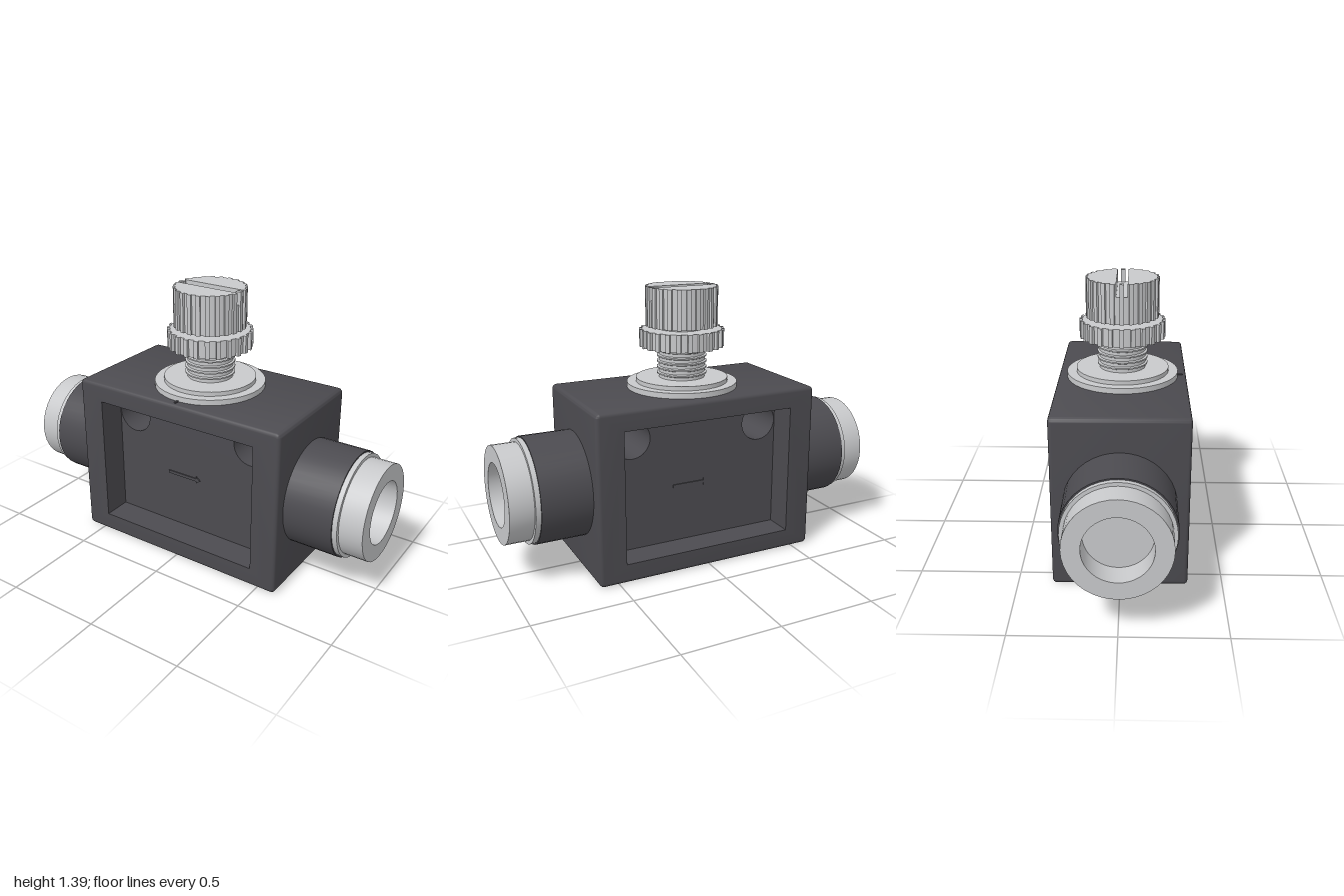
import * as THREE from 'three';
import { toCreasedNormals } from 'three/addons/utils/BufferGeometryUtils.js';

const dark = new THREE.MeshStandardMaterial({ color: 0x4c4b50, name: 'dark plastic' });
const light = new THREE.MeshStandardMaterial({ color: 0xc8c9cb, name: 'light metal' });

const W = 0.6, H = 0.88, D = 0.33;   // body half width, height, half depth
const CY = 0.44;                     // height of the port axis

function add(parent, name, geo, mat, x = 0, y = 0, z = 0) {
  const mesh = new THREE.Mesh(geo, mat);
  mesh.name = name;
  mesh.position.set(x, y, z);
  parent.add(mesh);
  return mesh;
}

// Turned part from [radius, height] pairs, with crisp steps
function turned(points, sides) {
  const geo = new THREE.LatheGeometry(points.map(p => new THREE.Vector2(...p)), sides);
  return toCreasedNormals(geo, 0.3);
}

function rectangle(path, hw, hh) {
  path.moveTo(-hw, -hh);
  path.lineTo(hw, -hh);
  path.lineTo(hw, hh);
  path.lineTo(-hw, hh);
  path.closePath();
  return path;
}

// Rounded frame around a sharp rectangular opening
function frameGeometry() {
  const r = 0.025, b = 0.02, hw = W, hh = H / 2;
  const s = new THREE.Shape();
  s.absarc(hw - r, hh - r, r, 0, Math.PI / 2);
  s.absarc(-hw + r, hh - r, r, Math.PI / 2, Math.PI);
  s.absarc(-hw + r, -hh + r, r, Math.PI, Math.PI * 1.5);
  s.absarc(hw - r, -hh + r, r, Math.PI * 1.5, Math.PI * 2);
  s.holes.push(rectangle(new THREE.Path(), 0.46, 0.34));
  const geo = new THREE.ExtrudeGeometry(s, {
    depth: 2 * (D - b), bevelThickness: b, bevelSize: b, bevelOffset: -b,
    bevelSegments: 4, curveSegments: 5,
  });
  geo.translate(0, 0, -(D - b));
  // keep the opening's walls straight where the bevel would widen them
  const p = geo.attributes.position;
  for (let i = 0; i < p.count; i++) {
    if (Math.abs(p.getX(i)) < 0.52 && Math.abs(p.getY(i)) < 0.39) {
      p.setXY(i, Math.sign(p.getX(i)) * 0.46, Math.sign(p.getY(i)) * 0.34);
    }
  }
  return toCreasedNormals(geo, 0.7);
}

// Inner wall with two mounting holes
function webGeometry() {
  const s = rectangle(new THREE.Shape(), 0.465, 0.345);
  for (const x of [-0.36, 0.36]) {
    const hole = new THREE.Path();
    hole.absarc(x, 0.24, 0.097, 0, Math.PI * 2, true);
    s.holes.push(hole);
  }
  const geo = new THREE.ExtrudeGeometry(s, { depth: 0.36, bevelEnabled: false, curveSegments: 20 });
  geo.translate(0, 0, -0.18);
  return toCreasedNormals(geo, 0.5);
}

// Ring of upright teeth
function addTeeth(parent, name, radius, y0, y1) {
  const count = 24, depth = 0.03;
  for (let i = 0; i < count; i++) {
    const a = (i / count) * Math.PI * 2;
    const r = radius - depth / 2;
    const tooth = add(parent, name, new THREE.BoxGeometry(depth, y1 - y0, 0.022), light,
      Math.cos(a) * r, (y0 + y1) / 2, Math.sin(a) * r);
    tooth.rotation.y = -a;
  }
}

export function createModel() {
  const model = new THREE.Group();
  model.name = 'flowValve';

  // Body
  add(model, 'bodyFrame', frameGeometry(), dark, 0, CY);
  add(model, 'bodyWeb', webGeometry(), dark, 0, CY);

  // Flow arrow and top index mark on each face
  for (const turn of [0, Math.PI]) {
    const marks = new THREE.Group();
    marks.name = 'faceMarks';
    marks.rotation.y = turn;
    add(marks, 'arrowShaft', new THREE.BoxGeometry(0.19, 0.016, 0.008), dark, -0.045, 0.402, 0.182);
    const head = new THREE.Shape();
    head.moveTo(0.035, -0.02);
    head.lineTo(0.06, 0);
    head.lineTo(0.035, 0.02);
    add(marks, 'arrowHead', new THREE.ExtrudeGeometry(head, { depth: 0.008, bevelEnabled: false }),
      dark, 0, 0.402, 0.178);
    if (turn === 0) add(marks, 'indexMark', new THREE.BoxGeometry(0.01, 0.008, 0.04), dark, 0, 0.882, 0.29);
    model.add(marks);
  }

  // Ports on both ends
  const sleeve = turned([[0, 0.55], [0.27, 0.55], [0.27, 0.855], [0.2, 0.855]], 40);
  const collet = turned([[0.2, 0.85], [0.263, 0.85], [0.263, 0.88], [0.245, 0.88],
    [0.245, 1], [0.16, 1], [0.16, 0.88], [0, 0.88]], 40);
  for (const side of [-1, 1]) {
    const port = new THREE.Group();
    port.name = side > 0 ? 'leftPort' : 'rightPort';
    port.position.y = CY + 0.003;
    port.rotation.z = -side * Math.PI / 2;
    add(port, 'portSleeve', sleeve, dark);
    add(port, 'releaseCollet', collet, light);
    model.add(port);
  }

  // Stepped collar
  add(model, 'collar', turned([[0, 0.87], [0.285, 0.87], [0.285, 0.908], [0.237, 0.908],
    [0.237, 0.93], [0, 0.93]], 40), light);

  // Threaded stem
  const thread = [[0.118, 0.92]];
  for (let y = 0.945; y < 1.08; y += 0.03) {
    thread.push([0.118, y], [0.128, y + 0.004], [0.128, y + 0.011], [0.118, y + 0.015]);
  }
  thread.push([0.118, 1.22]);
  add(model, 'threadedStem', turned(thread, 32), light);

  // Knurled lock nut
  add(model, 'lockNut', new THREE.CylinderGeometry(0.203, 0.203, 0.09, 48), light, 0, 1.135);
  addTeeth(model, 'lockNutTooth', 0.217, 1.09, 1.18);

  // Knurled knob with a screwdriver slot along x
  add(model, 'knobBase', new THREE.CylinderGeometry(0.174, 0.174, 0.135, 48), light, 0, 1.2625);
  const a = Math.asin(0.028 / 0.174);
  const half = new THREE.Shape();
  half.absarc(0, 0, 0.174, a, Math.PI - a);
  half.closePath();
  const halfGeo = toCreasedNormals(
    new THREE.ExtrudeGeometry(half, { depth: 0.065, bevelEnabled: false, curveSegments: 24 }), 0.4);
  halfGeo.rotateX(-Math.PI / 2);
  for (const turn of [0, Math.PI]) {
    add(model, 'knobHalf', halfGeo, light, 0, 1.33).rotation.y = turn;
  }
  addTeeth(model, 'knobTooth', 0.184, 1.195, 1.395);

  return model;
}
